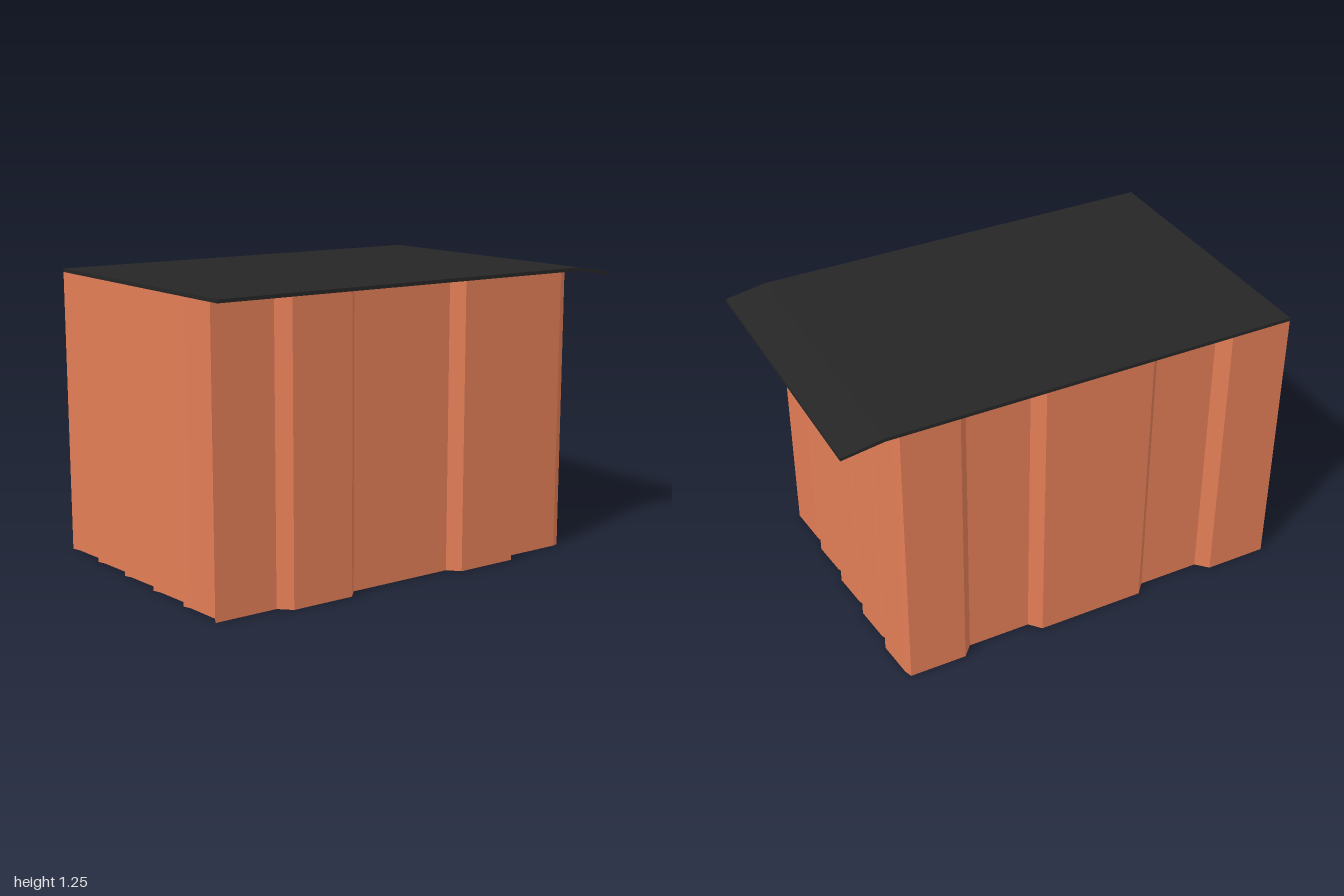
import * as THREE from 'three';

const HEIGHT = 1.232;
const FRONT = 1, BACK = -0.79;
const PITCH = 0.2425, DEPTH = 0.028;

// One sheet across the width: five shallow sawtooth panels, listed left to right.
function endSheet(zPeak) {
  const pts = [];
  for (let i = 0; i < 5; i++) {
    const x = -0.63 + i * PITCH;
    if (i > 0) pts.push([x - 0.04, zPeak - DEPTH]);
    pts.push([x, zPeak], [x + 0.035, zPeak - 0.012]);
  }
  pts.push([0.572, zPeak - DEPTH], [0.58, zPeak]);
  return pts;
}

// One sheet along the depth: wide trapezoid ribs, listed front to back.
function sideSheet(x) {
  const inner = x, outer = x + 0.05;
  return [
    [inner, 0.72], [outer, 0.67], [outer, 0.39], [inner, 0.345],
    [inner, -0.14], [outer, -0.185], [outer, -0.465], [inner, -0.51],
  ];
}

function createWalls() {
  const outline = [
    ...endSheet(FRONT),
    ...sideSheet(0.58),
    ...endSheet(BACK + DEPTH).reverse(),
    ...sideSheet(-0.63).reverse(),
  ];
  const shape = new THREE.Shape(outline.map(([x, z]) => new THREE.Vector2(x, -z)));
  const geometry = new THREE.ExtrudeGeometry(shape, { depth: HEIGHT, bevelEnabled: false });
  geometry.rotateX(-Math.PI / 2);
  const walls = new THREE.Mesh(geometry, new THREE.MeshStandardMaterial({ color: 0xe27d56 }));
  walls.name = 'corrugatedWalls';
  return walls;
}

// Thin flat roof with a drooping overhang at the back.
function createRoof() {
  const t = 0.015, width = 1.26;
  const profile = new THREE.Shape([
    [FRONT, HEIGHT], [FRONT, HEIGHT + t], [-0.82, HEIGHT + t],
    [-1, 1.217], [-1, 1.204], [-0.82, HEIGHT],
  ].map(([z, y]) => new THREE.Vector2(-z, y)));
  const geometry = new THREE.ExtrudeGeometry(profile, { depth: width, bevelEnabled: false });
  geometry.translate(0, 0, -width / 2);
  geometry.rotateY(Math.PI / 2);
  const roof = new THREE.Mesh(geometry, new THREE.MeshStandardMaterial({ color: 0x262626 }));
  roof.name = 'roof';
  return roof;
}

export function createModel() {
  const group = new THREE.Group();
  group.name = 'shed';
  group.add(createWalls(), createRoof());
  return group;
}
